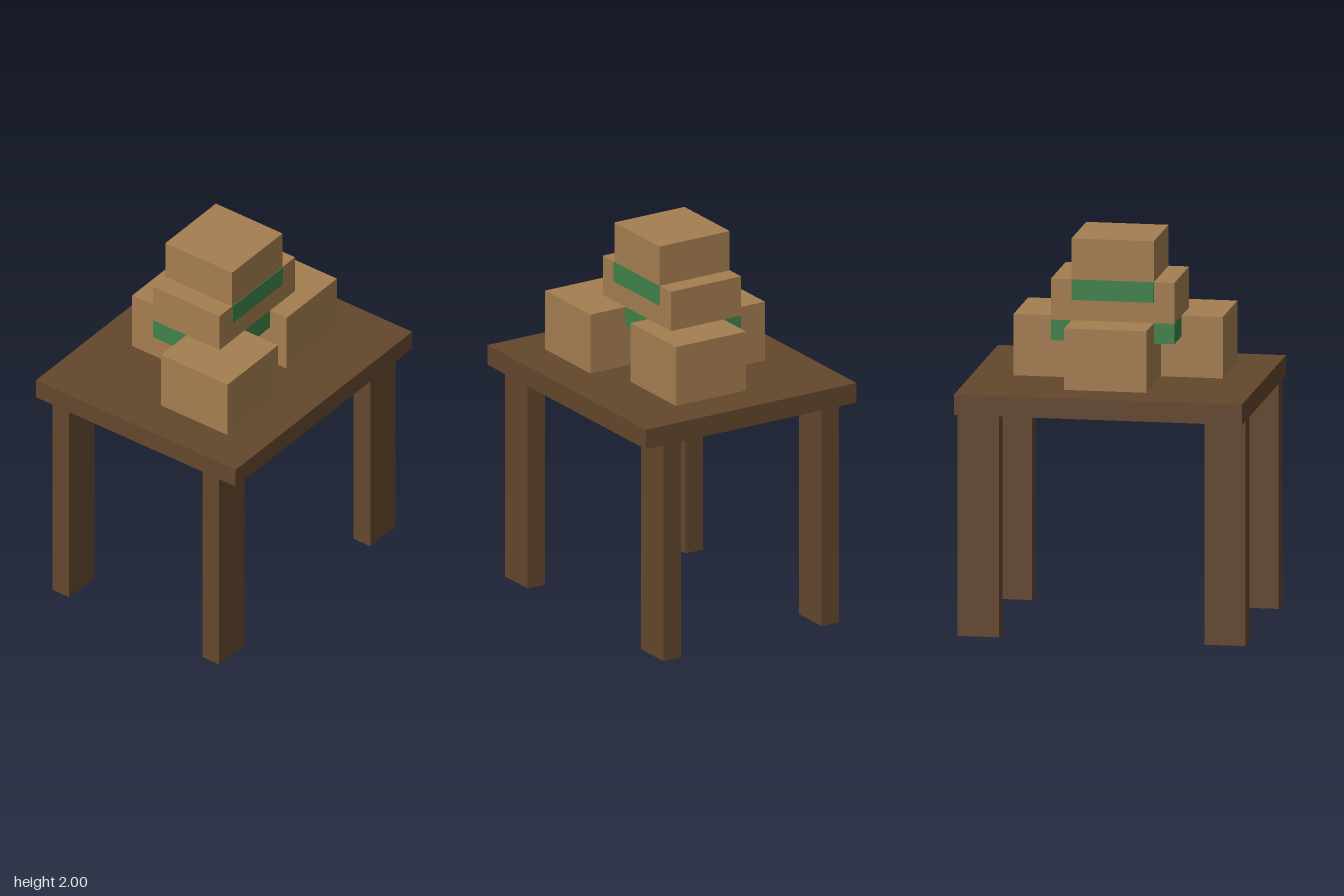
import * as THREE from 'three';

const U = 2 / 19; // grid unit: the model is 19 units tall

export function createModel() {
  const model = new THREE.Group();
  model.name = 'tableWithParcels';

  const material = (name, color) => {
    const m = new THREE.MeshStandardMaterial({ color });
    m.name = name;
    return m;
  };
  const darkWood = material('darkWood', 0x64472d);
  const cardboard = material('cardboard', 0xa57e51);
  const green = material('green', 0x3f824a);

  // Box spanning two opposite corners, in grid units
  const block = (name, mat, [x0, y0, z0], [x1, y1, z1], parent = model) => {
    const geometry = new THREE.BoxGeometry((x1 - x0) * U, (y1 - y0) * U, (z1 - z0) * U);
    const mesh = new THREE.Mesh(geometry, mat);
    mesh.position.set((x0 + x1) / 2 * U, (y0 + y1) / 2 * U, (z0 + z1) / 2 * U);
    mesh.name = name;
    parent.add(mesh);
    return mesh;
  };

  // Table: top and four plank legs
  const table = new THREE.Group();
  table.name = 'table';
  model.add(table);
  block('tableTop', darkWood, [-7, 11, -6], [7, 12, 6], table);
  for (const sx of [-1, 1]) {
    for (const sz of [-1, 1]) {
      const x = 6 * sx, z = 4.5 * sz;
      block('leg', darkWood, [x - 1, 0, z - 0.5], [x + 1, 11, z + 0.5], table);
    }
  }

  // Three lower boxes on the table
  block('frontRightBox', cardboard, [-5, 12, 0], [-1, 15, 4]);
  block('frontLeftBox', cardboard, [1, 12, -1], [5, 15, 3]);
  block('backBox', cardboard, [-2, 12, -4], [2, 15, 0]);

  // Stacked boxes
  block('middleBox', cardboard, [-3, 15, -2], [3, 17, 2]);
  block('topBox', cardboard, [-2, 17, -2], [2, 19, 2]);

  // Green layer under the middle box
  block('lowerGreenLayer', green, [-3, 14, -2], [3, 15, 2]);

  // Thin green bands on the front and back of the middle box
  block('frontGreenBand', green, [-2, 16, 2], [2, 17, 2.03]);
  block('backGreenBand', green, [-2, 16, -2.03], [2, 17, -2]);

  return model;
}
